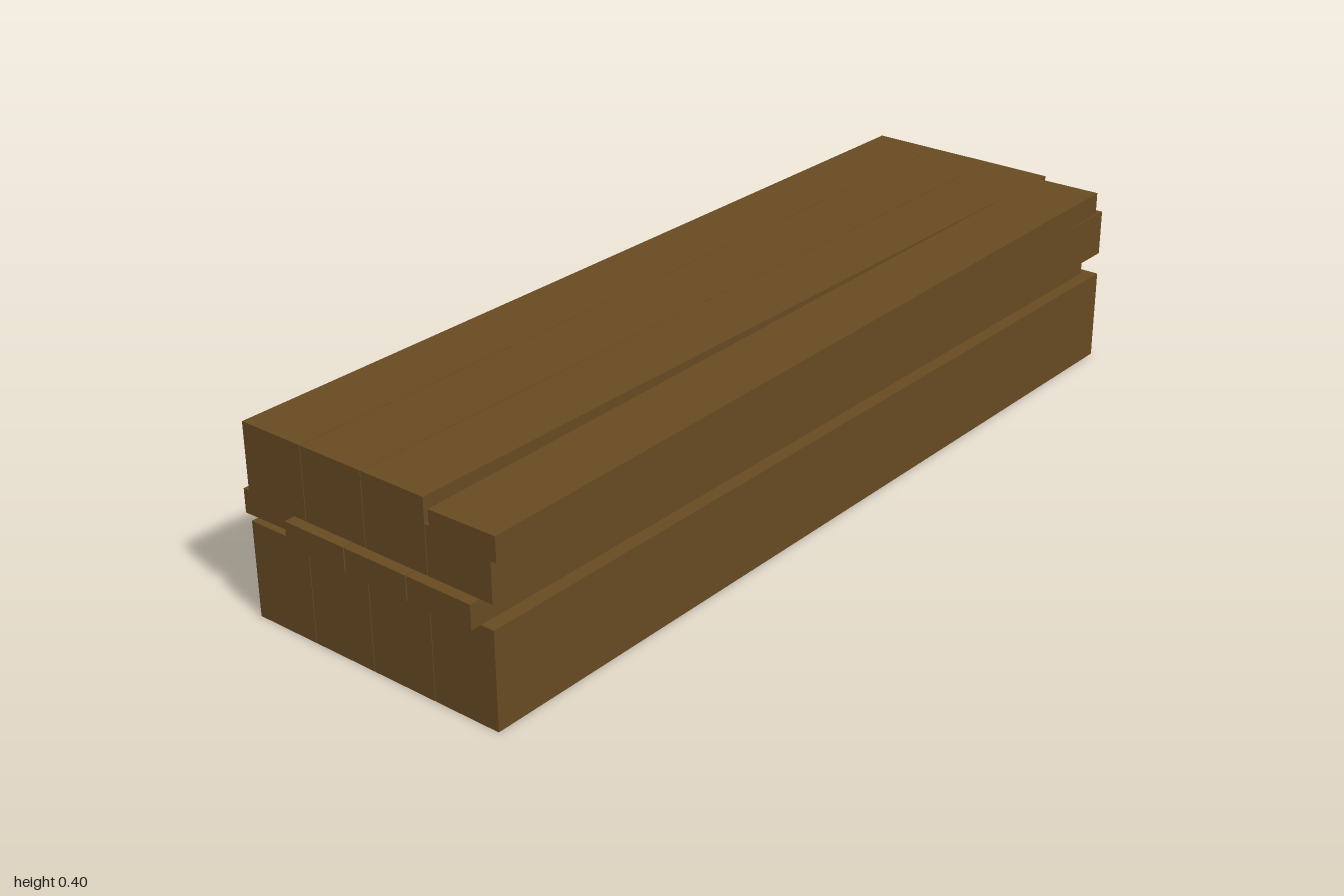
import * as THREE from 'three';

const LENGTH = 1.96, WIDTH = 0.1485, PITCH = 0.15, LAYER = 0.0497;
const SKEW = 0.0195; // slight turn of the badly stacked planks

export function createModel() {
  const stack = new THREE.Group();
  stack.name = 'plankStack';
  const wood = new THREE.MeshStandardMaterial({ color: 0x674a22 });
  wood.name = 'brown wood';
  const geometry = new THREE.BoxGeometry(LENGTH, LAYER, WIDTH);

  // One plank lying in a numbered layer, counted from the ground
  function plank(name, layer, x, z, turn = 0) {
    const mesh = new THREE.Mesh(geometry, wood);
    mesh.name = name;
    mesh.position.set(x, (layer + 0.5) * LAYER, z);
    mesh.rotation.y = turn;
    stack.add(mesh);
  }

  for (let layer = 0; layer < 8; layer++) {
    for (let row = 0; row < 4; row++) {
      const z = 0.2435 - row * PITCH;
      if (layer === 4) {
        // Shifted layer, with a skewed plank sticking out at the back
        if (row === 3) plank('skewedBackPlank', layer, 0.018, -0.2575, SKEW);
        else plank('shiftedPlank', layer, -0.02, 0.2145 - row * 0.151);
      } else if (layer === 7 && row === 0) {
        // Skewed plank overhanging the front of the top layer
        plank('skewedTopPlank', layer, -0.02, 0.259, SKEW);
      } else {
        plank('plank', layer, 0.003, z);
      }
    }
  }
  return stack;
}
